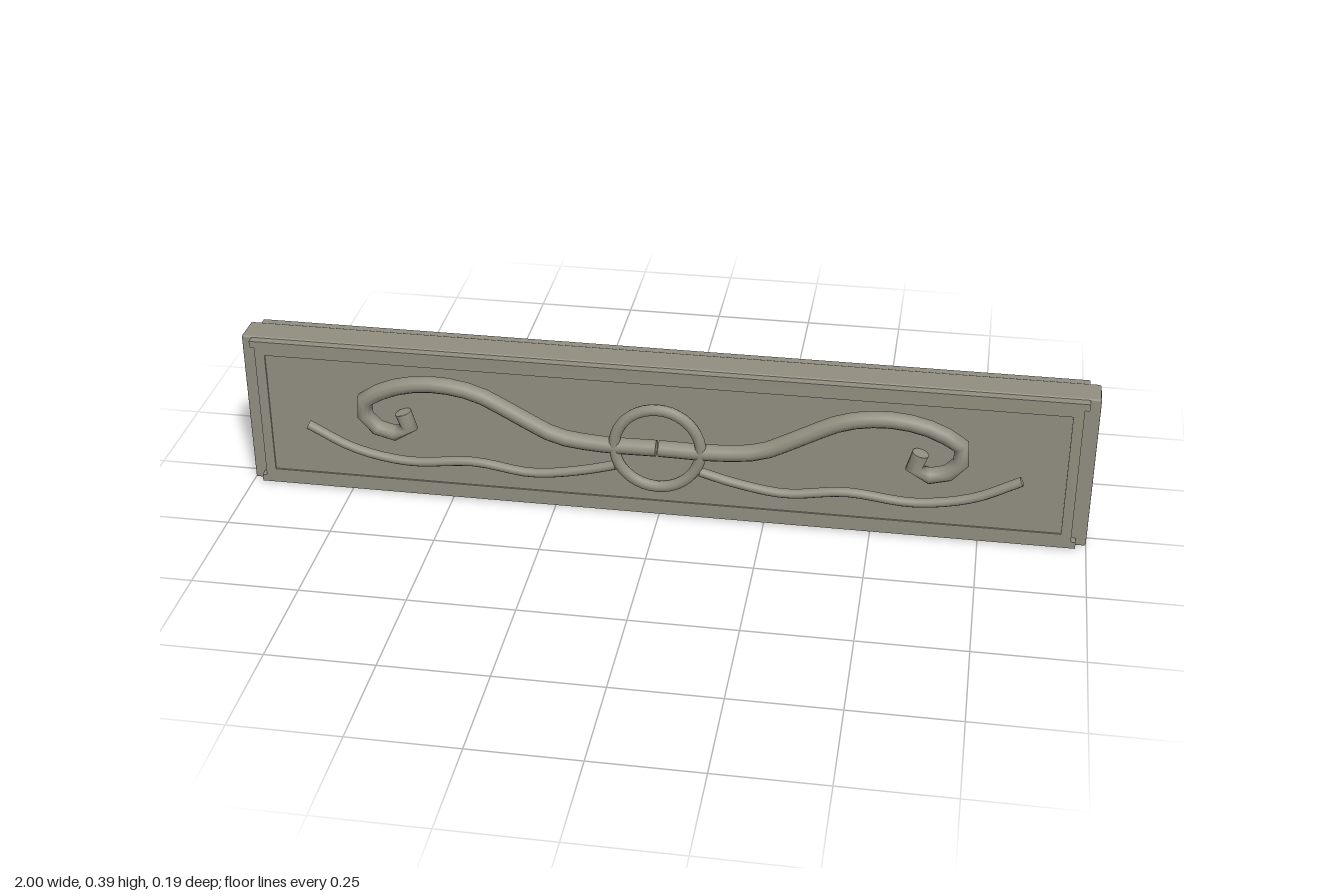
import * as THREE from 'three';
import { RoundedBoxGeometry } from 'three/addons/geometries/RoundedBoxGeometry.js';

const stone = new THREE.MeshStandardMaterial({ color: 0x918e80 });
stone.name = 'greyStone';

function add(parent, name, geometry, x = 0, y = 0, z = 0) {
  const mesh = new THREE.Mesh(geometry, stone);
  mesh.name = name;
  mesh.position.set(x, y, z);
  parent.add(mesh);
  return mesh;
}

// Round rod along a path of [x, y] points, closed with flat caps
function addRod(parent, name, points, side, z, radius, segments) {
  const curve = new THREE.CatmullRomCurve3(
    points.map(([x, y]) => new THREE.Vector3(x * side, y, z)));
  add(parent, name, new THREE.TubeGeometry(curve, segments, radius, 10));
  for (const t of [0, 1]) {
    const end = curve.getPointAt(t);
    const out = curve.getTangentAt(t).multiplyScalar(t ? 1 : -1);
    const cap = add(parent, name + 'Cap', new THREE.CircleGeometry(radius, 10), end.x, end.y, end.z);
    cap.quaternion.setFromUnitVectors(new THREE.Vector3(0, 0, 1), out);
  }
}

function rectangle(shape, x, y0, y1) {
  shape.moveTo(-x, y0);
  shape.lineTo(x, y0);
  shape.lineTo(x, y1);
  shape.lineTo(-x, y1);
  shape.closePath();
  return shape;
}

const scrollPath = [
  [0.003, 0.192], [0.14, 0.192], [0.24, 0.205], [0.33, 0.25], [0.43, 0.3],
  [0.52, 0.315], [0.6, 0.307], [0.66, 0.285], [0.7, 0.258], [0.695, 0.21],
  [0.645, 0.178], [0.595, 0.19], [0.607, 0.235],
];
const vinePath = [
  [0.1, 0.14], [0.18, 0.118], [0.3, 0.1], [0.44, 0.117], [0.6, 0.104],
  [0.73, 0.128], [0.84, 0.183],
];

// One decorated face, looking along +z
function createFace(name) {
  const face = new THREE.Group();
  face.name = name;

  // Border with a shallow sunken field
  const border = rectangle(new THREE.Shape(), 0.964, 0.004, 0.385);
  border.holes.push(rectangle(new THREE.Path(), 0.94, 0.04, 0.35));
  add(face, 'border', new THREE.ExtrudeGeometry(border, { depth: 0.024, bevelEnabled: false }), 0, 0, 0.034);
  add(face, 'field', new THREE.BoxGeometry(1.89, 0.32, 0.02), 0, 0.195, 0.044);

  // Narrow rails along the top and bottom, reaching past the border
  for (const y of [0.0125, 0.3765]) {
    add(face, 'rail', new THREE.BoxGeometry(1.95, 0.017, 0.024), 0, y, 0.046);
  }

  // Central ring with mirrored scrolls and vines
  add(face, 'ring', new THREE.TorusGeometry(0.102, 0.0135, 10, 40), 0, 0.195, 0.079);
  for (const side of [-1, 1]) {
    addRod(face, 'scroll', scrollPath, side, 0.073, 0.02, 22);
    addRod(face, 'vine', vinePath, side, 0.076, 0.0115, 24);
  }
  return face;
}

export function createModel() {
  const model = new THREE.Group();
  model.name = 'carvedSlab';
  add(model, 'core', new RoundedBoxGeometry(2, 0.388, 0.076, 1, 0.005), 0, 0.194, 0);
  model.add(createFace('frontFace'));
  const back = createFace('backFace');
  back.rotation.y = Math.PI;
  model.add(back);
  return model;
}
